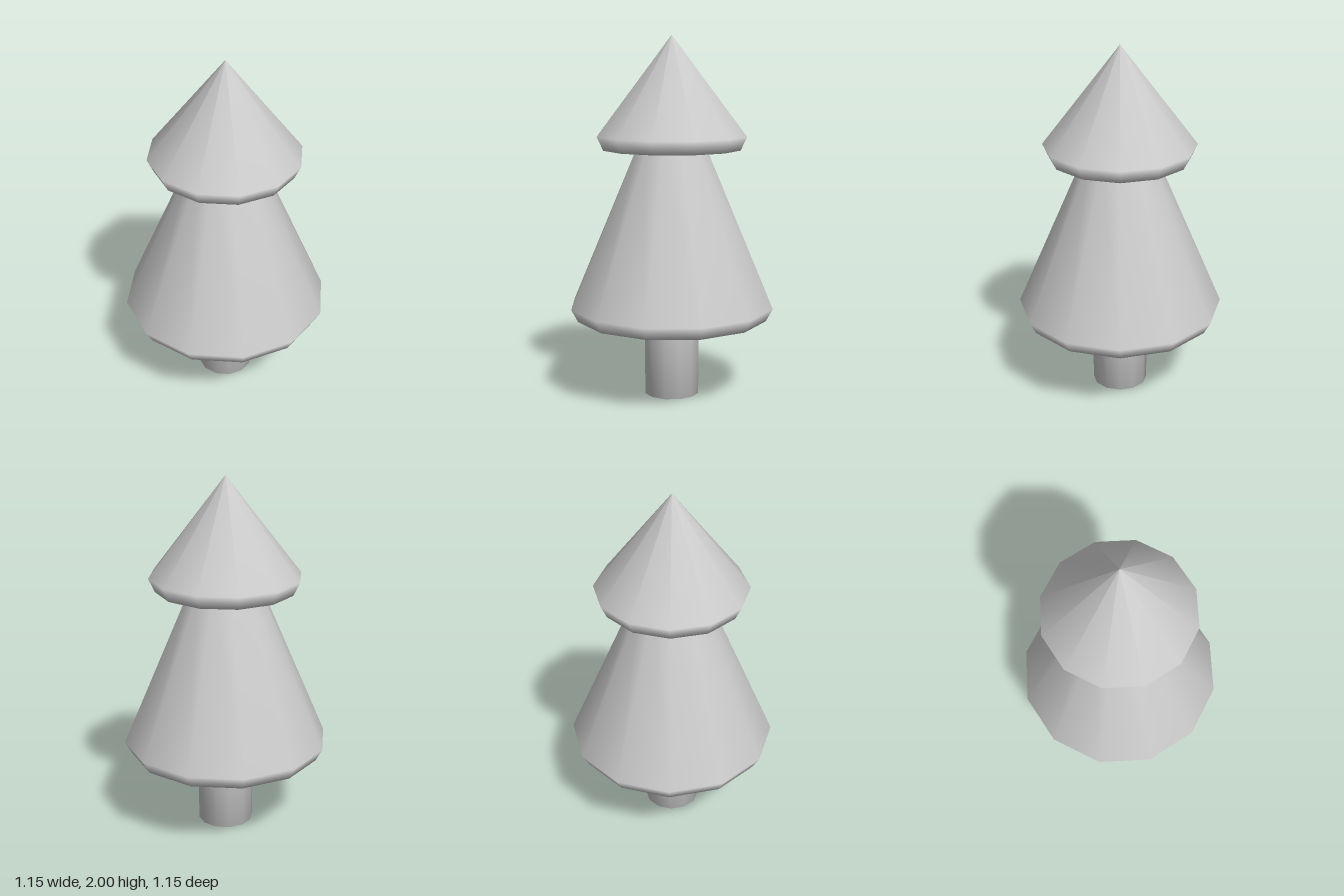
import * as THREE from 'three';

const SIDES = 12;

export function createModel() {
  const group = new THREE.Group();
  const material = new THREE.MeshStandardMaterial({ color: 0xcccccc });

  // Revolve a [radius, height] profile, listed from bottom to top
  function addTurned(name, profile) {
    const points = profile.map(([r, y]) => new THREE.Vector2(r, y));
    const mesh = new THREE.Mesh(new THREE.LatheGeometry(points, SIDES), material);
    mesh.name = name;
    group.add(mesh);
  }

  // Trunk with closed base, meeting the underside of the foliage
  addTurned('trunk', [[0, 0], [0.155, 0], [0.155, 0.44]]);

  // Tall lower foliage: flat underside, flared rim, tapering to the neck
  addTurned('lowerFoliage', [[0.155, 0.44], [0.535, 0.44], [0.573, 0.51], [0.2, 1.38]]);

  // Pointed upper foliage
  addTurned('upperFoliage', [[0.2, 1.38], [0.385, 1.38], [0.42, 1.455], [0, 2]]);

  return group;
}
